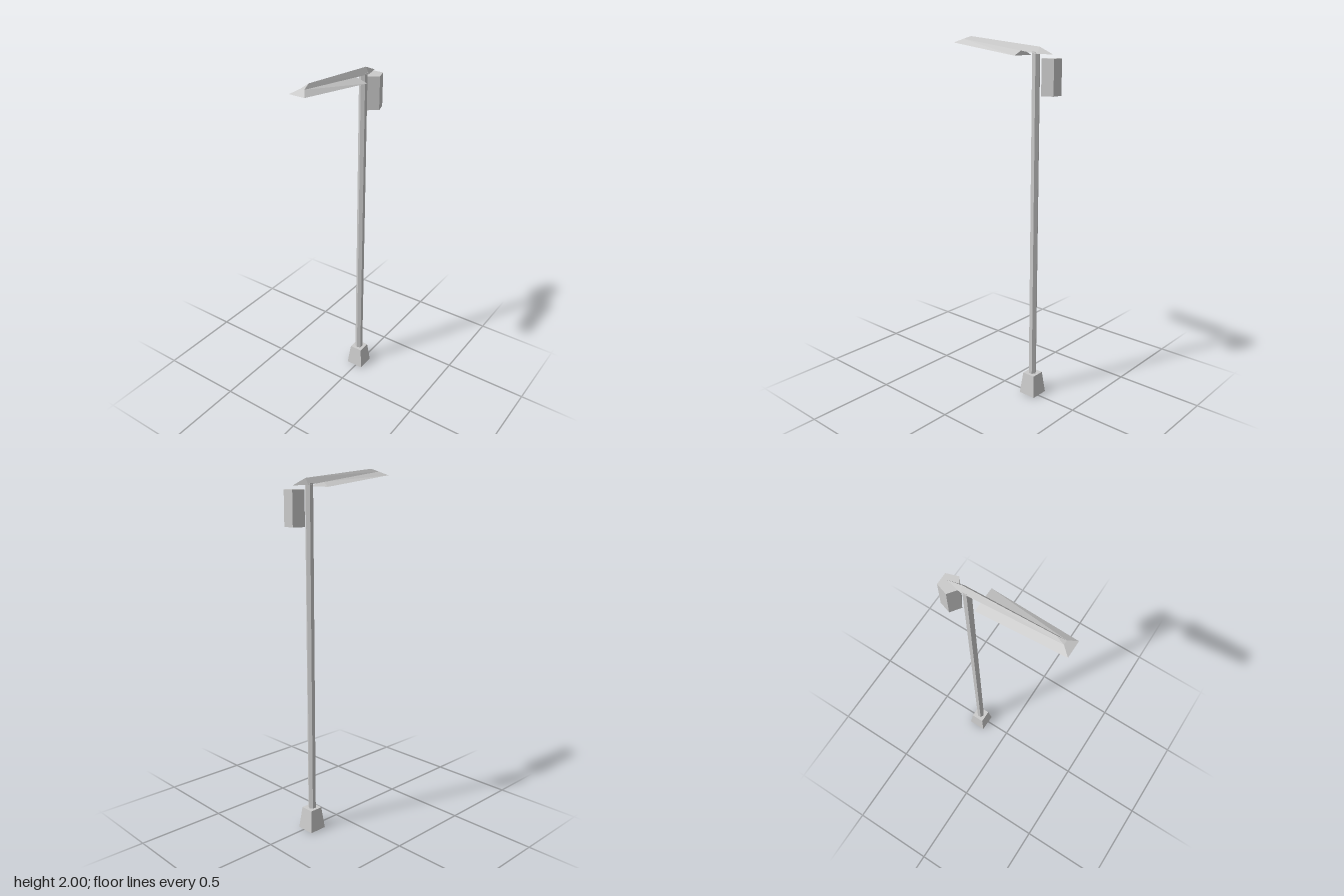
import * as THREE from 'three';

const material = new THREE.MeshStandardMaterial({ color: 0xcccccc, flatShading: true });
const AXIS_Z = -0.011;

// Joins rings of [x, y, z] corners, listed counterclockwise as seen from +x, with end caps.
function loft(rings) {
  const n = rings[0].length;
  const index = [];
  for (let r = 0; r < rings.length - 1; r++) {
    for (let i = 0; i < n; i++) {
      const j = (i + 1) % n;
      const a = r * n;
      const b = a + n;
      index.push(a + i, a + j, b + j, a + i, b + j, b + i);
    }
  }
  const last = (rings.length - 1) * n;
  for (let i = 1; i < n - 1; i++) {
    index.push(0, i + 1, i, last, last + i, last + i + 1);
  }
  const geometry = new THREE.BufferGeometry();
  geometry.setAttribute('position', new THREE.Float32BufferAttribute(rings.flat(2), 3));
  geometry.setIndex(index);
  const flat = geometry.toNonIndexed();
  flat.computeVertexNormals();
  return flat;
}

// Upright prism with a given number of sides, standing between two heights.
function prism(topRadius, bottomRadius, y0, y1, sides, turn, x) {
  return new THREE.CylinderGeometry(topRadius, bottomRadius, y1 - y0, sides)
    .rotateY(turn)
    .translate(x, (y0 + y1) / 2, AXIS_Z);
}

export function createModel() {
  const group = new THREE.Group();
  const add = (name, geometry) => {
    const mesh = new THREE.Mesh(geometry, material);
    mesh.name = name;
    group.add(mesh);
  };

  // Tapered square foot
  add('base', prism(0.038 * Math.SQRT2, 0.052 * Math.SQRT2, 0, 0.125, 4, Math.PI / 4, 0.204));

  // Slim faceted post
  add('pole', prism(0.022, 0.022, 0.12, 1.93, 6, Math.PI / 2, 0.202));

  // Five-sided box hanging beside the post
  add('controlBox', prism(0.056, 0.056, 1.715, 1.9, 5, -Math.PI / 2, 0.297));

  // Ridged arm, pointed past the post
  add('arm', loft([
    [[-0.255, 2.0, AXIS_Z], [-0.303, 1.985, 0], [-0.303, 1.985, -0.024]],
    [[0.225, 1.955, AXIS_Z], [0.225, 1.92, 0.01], [0.225, 1.92, -0.031]],
    [[0.31, 1.919, AXIS_Z], [0.31, 1.919, AXIS_Z], [0.31, 1.919, AXIS_Z]],
  ]));

  // Wide lamp shade flaring below the arm
  add('lampShade', loft([
    [[-0.303, 1.985, -0.024], [-0.303, 1.985, 0], [-0.345, 1.965, 0.033], [-0.345, 1.965, -0.058]],
    [[0.115, 1.934, -0.026], [0.115, 1.934, 0.004], [0.122, 1.91, 0.066], [0.122, 1.91, -0.068]],
  ]));

  return group;
}
